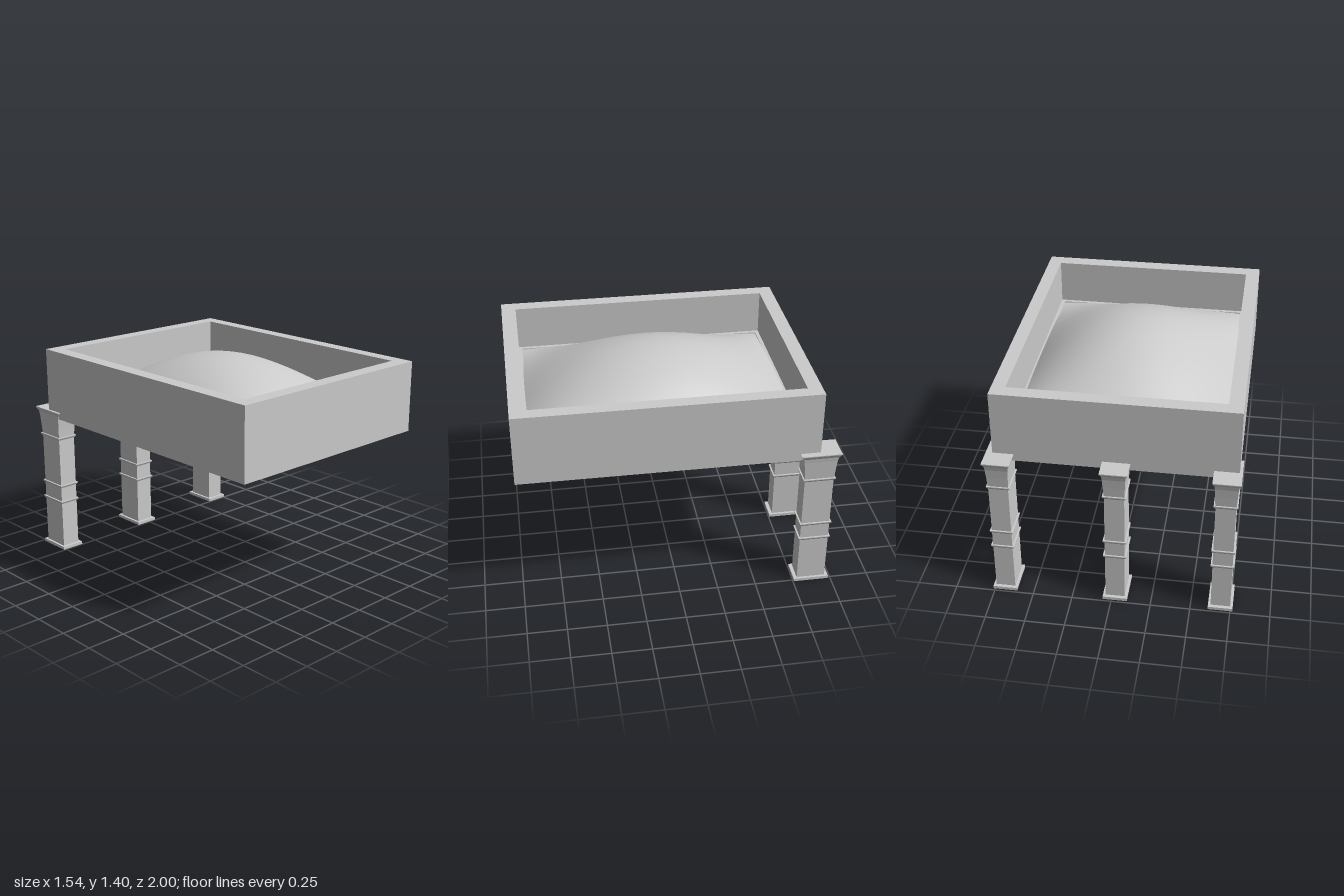
import * as THREE from 'three';

const grey = new THREE.MeshStandardMaterial({ color: 0xcccccc, flatShading: true });
const smooth = new THREE.MeshStandardMaterial({ color: 0xcccccc, side: THREE.DoubleSide });

// Inner opening of the box frame
const IN = { x0: -0.665, x1: 0.645, z0: -0.78, z1: 0.905 };

function named(name, geometry, material = grey) {
  const mesh = new THREE.Mesh(geometry, material);
  mesh.name = name;
  return mesh;
}

// Rectangular ring lying flat, from y0 to y1
function ring(outer, inner, y0, y1) {
  const corners = (r) => [[r.x0, -r.z1], [r.x1, -r.z1], [r.x1, -r.z0], [r.x0, -r.z0]]
    .map(([x, y]) => new THREE.Vector2(x, y));
  const shape = new THREE.Shape(corners(outer));
  shape.holes.push(new THREE.Path(corners(inner).reverse()));
  const geo = new THREE.ExtrudeGeometry(shape, { depth: y1 - y0, bevelEnabled: false });
  return geo.rotateX(-Math.PI / 2).translate(0, y0, 0);
}

const inset = (r, d) => ({ x0: r.x0 + d, x1: r.x1 - d, z0: r.z0 + d, z1: r.z1 - d });

// Rectangular cross-sections [y, width, depth] joined into a closed solid
function loft(sections) {
  const pos = [];
  const rings = sections.map(([y, w, d]) => [
    [-w / 2, y, d / 2], [w / 2, y, d / 2], [w / 2, y, -d / 2], [-w / 2, y, -d / 2],
  ]);
  const quad = (a, b, c, d) => pos.push(...a, ...b, ...c, ...a, ...c, ...d);
  for (let i = 0; i < rings.length - 1; i++) {
    for (let k = 0; k < 4; k++) {
      const n = (k + 1) % 4;
      quad(rings[i][k], rings[i][n], rings[i + 1][n], rings[i + 1][k]);
    }
  }
  const [b, t] = [rings[0], rings[rings.length - 1]];
  quad(b[3], b[2], b[1], b[0]);
  quad(t[0], t[1], t[2], t[3]);
  const geo = new THREE.BufferGeometry();
  geo.setAttribute('position', new THREE.Float32BufferAttribute(pos, 3));
  geo.computeVertexNormals();
  return geo;
}

function column() {
  const g = new THREE.Group();
  g.name = 'column';
  g.add(named('plinth', loft([[0, 0.155, 0.23], [0.02, 0.155, 0.23]])));
  g.add(named('shaft', loft([[0.02, 0.123, 0.185], [0.8, 0.123, 0.185]])));
  // Flared bands around the shaft
  for (const y of [0.33, 0.445, 0.785]) {
    g.add(named('band', loft([
      [y, 0.13, 0.192], [y + 0.012, 0.145, 0.205], [y + 0.018, 0.145, 0.205],
    ])));
  }
  // Curved, flaring capital
  g.add(named('capital', loft([
    [0.8, 0.125, 0.187], [0.87, 0.133, 0.198], [0.93, 0.14, 0.21],
    [0.958, 0.147, 0.222], [0.98, 0.17, 0.255], [0.986, 0.17, 0.255],
  ])));
  return g;
}

// Vaulted panel with level edges, highest in the middle
function vault() {
  const w = IN.x1 - IN.x0, d = IN.z1 - IN.z0;
  const geo = new THREE.PlaneGeometry(w, d, 32, 32).rotateX(-Math.PI / 2);
  const p = geo.attributes.position;
  for (let i = 0; i < p.count; i++) {
    const u = p.getX(i) / (w / 2), v = p.getZ(i) / (d / 2);
    p.setY(i, 1.1 + 0.302 * (1 - u * u) * (1 - v * v));
  }
  geo.computeVertexNormals();
  return geo.translate((IN.x0 + IN.x1) / 2, 0, (IN.z0 + IN.z1) / 2);
}

export function createModel() {
  const model = new THREE.Group();
  model.name = 'canopy';

  // Box frame
  const outer = { x0: -0.755, x1: 0.73, z0: -0.87, z1: 1.0 };
  model.add(named('frame', ring(outer, IN, 0.94, 1.4)));

  // Stepped moulding inside the lower rim and the ledge around the vault
  model.add(named('lowerMoulding', ring(inset(IN, -0.02), inset(IN, 0.018), 0.935, 0.95)));
  model.add(named('upperMoulding', ring(inset(IN, -0.005), inset(IN, 0.03), 0.95, 0.968)));
  model.add(named('ledge', ring(inset(IN, -0.005), inset(IN, 0.025), 1.095, 1.11)));

  model.add(named('vault', vault(), smooth));

  // Row of columns along the back
  for (const x of [-0.688, -0.022, 0.685]) {
    const c = column();
    c.position.set(x, 0, -0.87);
    model.add(c);
  }
  return model;
}
